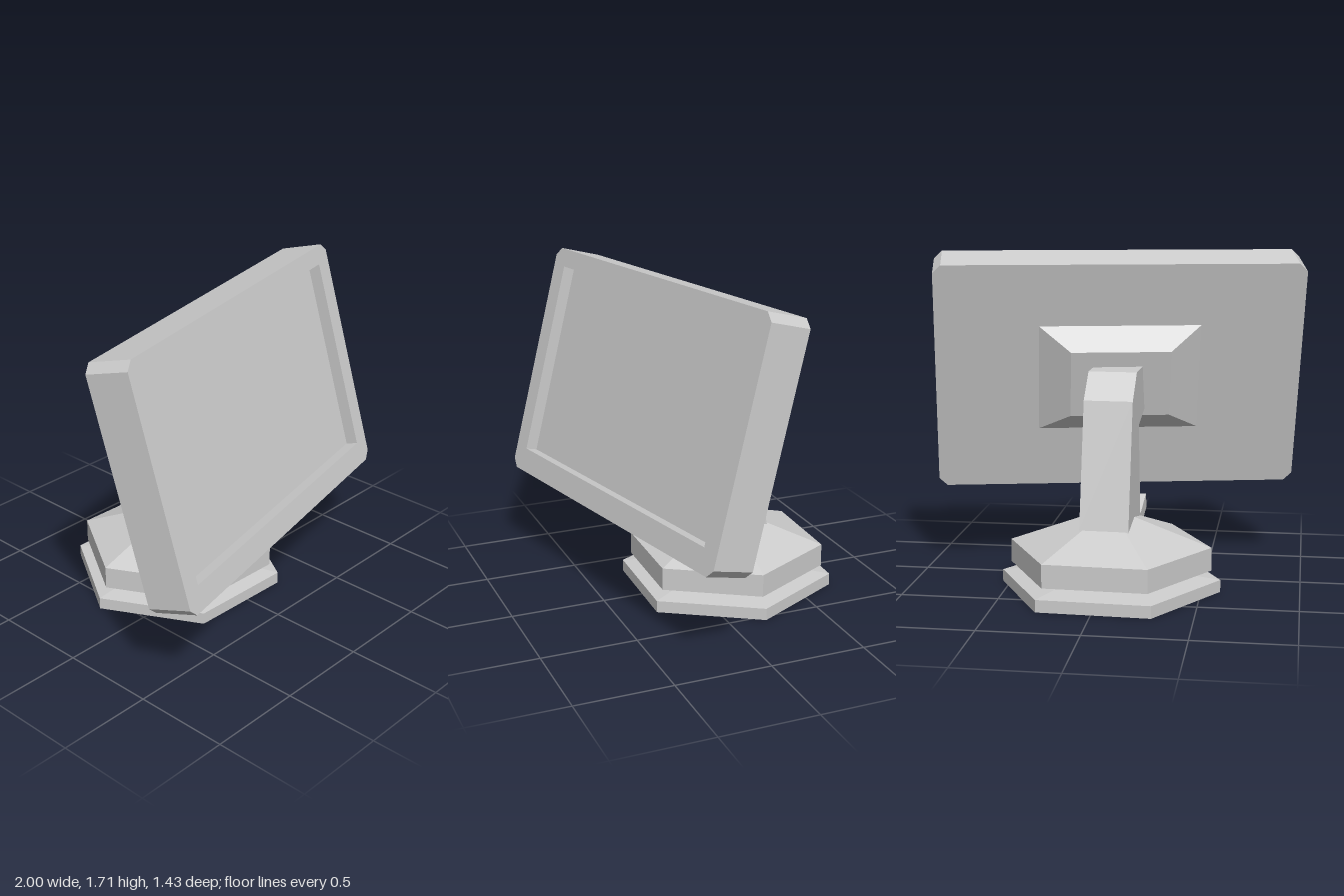
import * as THREE from 'three';

const grey = new THREE.MeshStandardMaterial({ color: 0xcccccc });
grey.name = 'light grey';

// Faceted mesh with one normal per face
function part(name, geometry, parent) {
  const g = geometry.index ? geometry.toNonIndexed() : geometry;
  g.computeVertexNormals();
  const mesh = new THREE.Mesh(g, grey);
  mesh.name = name;
  parent.add(mesh);
  return mesh;
}

const points = (list) => list.map(([x, y]) => new THREE.Vector2(x, y));
const extrude = (shape, depth) =>
  new THREE.ExtrudeGeometry(shape, { depth, bevelEnabled: false });

// Rectangle with cut corners
function casingShape(w, h, c) {
  const x = w / 2, y = h / 2;
  return new THREE.Shape(points([
    [-x + c, -y], [x - c, -y], [x, -y + c], [x, y - c],
    [x - c, y], [-x + c, y], [-x, y - c], [-x, -y + c],
  ]));
}

// Six-sided solid from a profile, corners pointing to the sides
const hexagonal = (profile) => new THREE.LatheGeometry(points(profile), 6, Math.PI / 6);

function createStand() {
  const stand = new THREE.Group();
  stand.name = 'stand';
  const width = 0.25;

  part('footPlate', hexagonal([[0, 0.05], [0.57, 0], [0.57, 0.063], [0, 0.135]]), stand);
  part('swivelBase', hexagonal([[0, 0.11], [0.523, 0.11], [0.523, 0.23], [0, 0.42]]), stand);

  // Neck with a hooked head that reaches into the mount
  const side = new THREE.Shape(points([
    [-0.21, 0.25], [0.215, 0.25], [0.2, 0.34], [0.14, 0.825], [0.34, 0.885],
    [0.33, 1.115], [0.07, 1.11], [-0.06, 0.98], [-0.19, 0.34],
  ]));
  const neck = extrude(side, width);
  neck.rotateY(-Math.PI / 2);
  neck.translate(width / 2, 0, 0);
  part('neck', neck, stand);

  // Tilted tab in front of the neck
  const tab = part('frontTab', new THREE.BoxGeometry(width, 0.08, 0.25), stand);
  tab.position.set(0, 0.327, 0.292);
  tab.rotation.x = -0.33;

  stand.position.set(-0.028, 0, -0.21);
  stand.rotation.y = -0.035;
  return stand;
}

function createScreen() {
  const screen = new THREE.Group();
  screen.name = 'screen';
  const w = 1.929, h = 1.255, cut = 0.043, depth = 0.235, recess = 0.065;

  // Frame around the recessed display
  const frame = casingShape(w, h, cut);
  const hx = 0.86, top = 0.534, bottom = -0.503;
  frame.holes.push(new THREE.Path(points([
    [-hx, bottom], [-hx, top], [hx, top], [hx, bottom],
  ])));
  part('bezel', extrude(frame, recess), screen).position.z = -recess;

  // Rear casing, whose front face is the display
  part('casing', extrude(casingShape(w, h, cut), depth - recess), screen).position.z = -depth;

  // Tapered mount on the back
  const mount = new THREE.CylinderGeometry(0.36 / Math.SQRT2, 0.585 / Math.SQRT2, 0.09, 4);
  mount.rotateY(Math.PI / 4);
  mount.rotateX(-Math.PI / 2);
  mount.scale(1.45, 1, 1);
  part('rearMount', mount, screen).position.z = -depth - 0.045;

  screen.position.set(0.02, 1.105, 0.357);
  screen.rotation.set(-0.269, 0.213, 0, 'YXZ');
  return screen;
}

export function createModel() {
  const model = new THREE.Group();
  model.name = 'monitor';
  model.add(createStand(), createScreen());
  return model;
}
